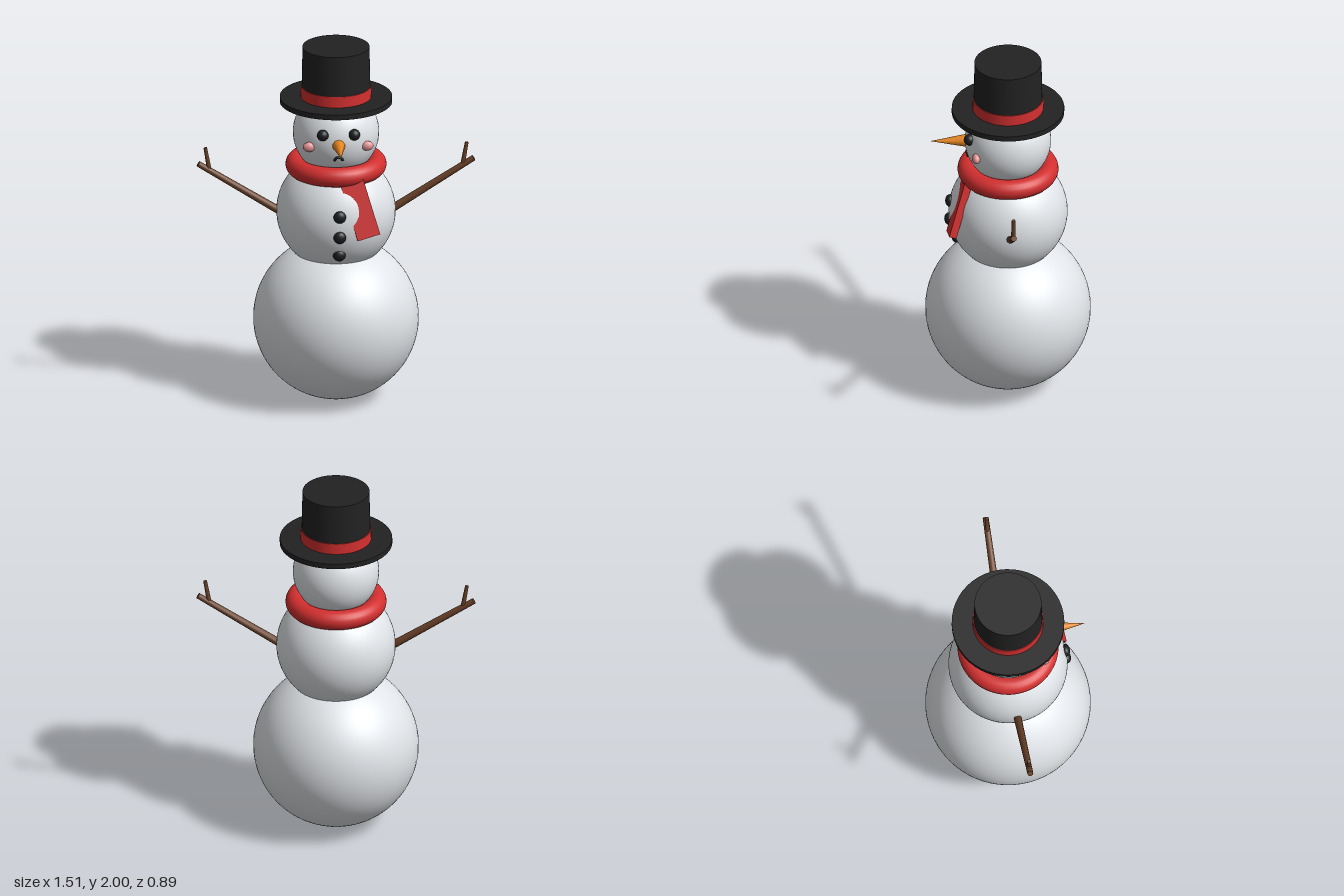
import * as THREE from 'three';

const mat = (name, color) => Object.assign(new THREE.MeshStandardMaterial({ color }), { name });

export function createModel() {
  const snow = mat('snow', 0xeef2f6);
  const black = mat('hat black', 0x222222);
  const coal = mat('coal', 0x1c1e20);
  const red = mat('scarf red', 0xd32f2f);
  const wood = mat('wood', 0x6b4229);
  const orange = mat('carrot orange', 0xee8a22);
  const pink = mat('cheek pink', 0xf4a0a0);

  const model = new THREE.Group();
  model.name = 'snowman';

  const add = (name, geometry, material, x = 0, y = 0, z = 0, parent = model) => {
    const mesh = new THREE.Mesh(geometry, material);
    mesh.name = name;
    mesh.position.set(x, y, z);
    parent.add(mesh);
    return mesh;
  };
  const ball = (r, seg = 20) => new THREE.SphereGeometry(r, seg, Math.round(seg * 0.7));

  // Tapered round stick between two points
  const stick = (name, from, to, r0, r1, parent) => {
    const dir = to.clone().sub(from);
    const mid = from.clone().add(to).multiplyScalar(0.5);
    const mesh = add(name, new THREE.CylinderGeometry(r1, r0, dir.length(), 10), wood, mid.x, mid.y, mid.z, parent);
    mesh.quaternion.setFromUnitVectors(new THREE.Vector3(0, 1, 0), dir.normalize());
  };

  // Three snowballs
  add('lowerBody', ball(0.447, 64), snow, 0, 0.447, 0);
  add('upperBody', ball(0.322, 56), snow, 0, 1.06, 0);
  add('head', ball(0.233, 48), snow, 0, 1.51, 0);

  // Top hat
  const hat = new THREE.Group();
  hat.name = 'hat';
  model.add(hat);
  add('hatBrim', new THREE.CylinderGeometry(0.304, 0.304, 0.03, 48), black, 0, 1.7, 0, hat);
  add('hatCrown', new THREE.CylinderGeometry(0.181, 0.187, 0.3, 48), black, 0, 1.85, 0, hat);
  add('hatBand', new THREE.CylinderGeometry(0.19, 0.192, 0.062, 48), red, 0, 1.745, 0, hat);

  // Scarf ring and hanging end
  add('scarfRing', new THREE.TorusGeometry(0.219, 0.054, 20, 56), red, 0, 1.326, 0).rotation.x = Math.PI / 2;
  add('scarfTail', new THREE.BoxGeometry(0.127, 0.32, 0.04), red, 0.113, 1.157, 0.267).rotation.set(-0.3, 0, 0.28);

  // Face
  add('nose', new THREE.ConeGeometry(0.038, 0.21, 10), orange, 0, 1.51, 0.315).rotation.x = Math.PI / 2;
  add('mouth', new THREE.TorusGeometry(0.021, 0.007, 8, 16, Math.PI), coal, 0, 1.422, 0.217).rotation.x = 0.3;

  // Coal buttons
  [[1.13, 0.314], [1.015, 0.319], [0.9, 0.279]].forEach(([y, z]) =>
    add('button', ball(0.034), coal, 0, y, z).scale.z = 0.75);

  // Paired parts: eyes, cheeks and branch arms
  for (const s of [1, -1]) {
    const side = s > 0 ? 'left' : 'right';
    add(side + 'Eye', ball(0.031), coal, s * 0.085, 1.566, 0.212);
    add(side + 'Cheek', ball(0.034), pink, s * 0.157, 1.489, 0.178).scale.set(1, 0.8, 0.65);

    const arm = new THREE.Group();
    arm.name = side + 'Arm';
    model.add(arm);
    const p = (x, y) => new THREE.Vector3(s * x, y, 0);
    stick('branch', p(0.27, 1.04), p(0.745, 1.342), 0.022, 0.016, arm);
    stick('twig', p(0.685, 1.305), p(0.707, 1.433), 0.013, 0.01, arm);
  }

  return model;
}
